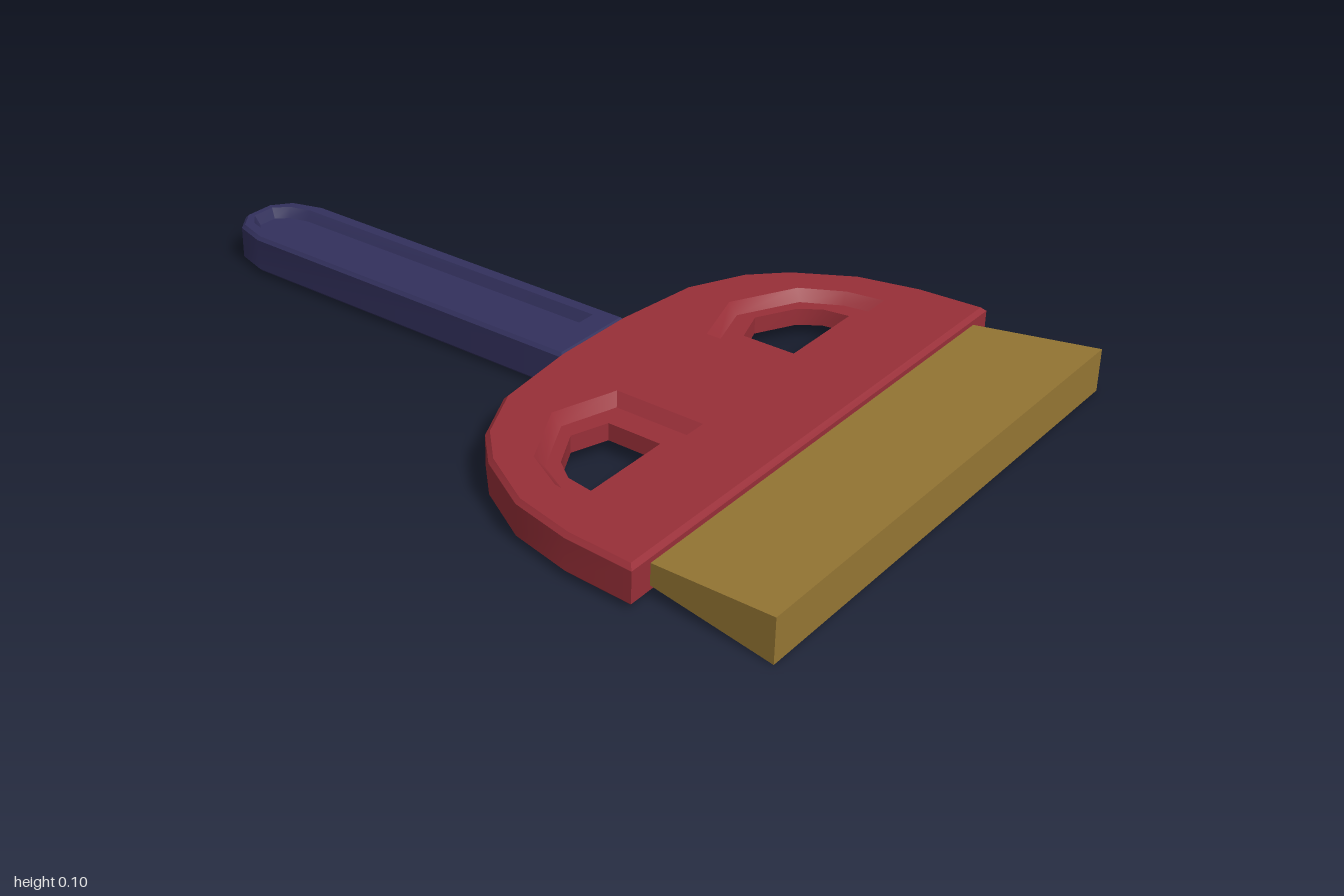
import * as THREE from 'three';
import { toCreasedNormals } from 'three/addons/utils/BufferGeometryUtils.js';

// Loops are lists of [x, z] points.
const V = (loop) => loop.map(([x, z]) => new THREE.Vector2(x, z));
const ordered = (loop) => (THREE.ShapeUtils.area(V(loop)) < 0 ? [...loop].reverse() : loop);
const mirrored = (loop) => loop.map(([x, z]) => [-x, z]);
// Closes a half outline running from the back to the front on +x.
const symmetric = (half) => [...half, ...mirrored(half).reverse()];

// Shrinks a loop by d, keeping its sides parallel (negative d grows it).
function inset(loop, d) {
  const n = loop.length;
  const normal = (p, q) => new THREE.Vector2(p[1] - q[1], q[0] - p[0]).normalize();
  return loop.map((p, i) => {
    const a = normal(loop[(i + n - 1) % n], p);
    const b = normal(p, loop[(i + 1) % n]);
    const k = d / (1 + a.dot(b));
    return [p[0] + (a.x + b.x) * k, p[1] + (a.y + b.y) * k];
  });
}

// Flat plate with a bevelled rim, sunken panels on both faces and openings through them.
function recessedPlate(outline, panels, { y0, y1, bevel, depth, slope }) {
  const pos = [];
  const put = (p, y) => pos.push(p[0], y, p[1]);
  const skin = (a, ya, b, yb) => {
    a.forEach((p, i) => {
      const j = (i + 1) % a.length;
      put(p, ya); put(b[i], yb); put(a[j], ya);
      put(a[j], ya); put(b[i], yb); put(b[j], yb);
    });
  };
  const cap = (outer, holes, y, up) => {
    const pts = [outer, ...holes].flat();
    for (const f of THREE.ShapeUtils.triangulateShape(V(outer), holes.map(V))) {
      const t = f.map((i) => pts[i]);
      if (THREE.ShapeUtils.area(V(t)) > 0 === up) t.reverse();
      t.forEach((p) => put(p, y));
    }
  };

  const outer = ordered(outline);
  const inner = inset(outer, bevel);
  const sunken = panels.map(({ rim, hole }) => {
    const r = ordered(rim);
    return { rim: r, floor: inset(r, slope), hole: ordered(hole) };
  });
  const rims = sunken.map((s) => s.rim);

  // Rim and broad faces
  skin(inner, y0, outer, y0 + bevel);
  skin(outer, y0 + bevel, outer, y1 - bevel);
  skin(outer, y1 - bevel, inner, y1);
  cap(inner, rims, y1, true);
  cap(inner, rims, y0, false);

  // Sunken panels and their openings
  for (const { rim, floor, hole } of sunken) {
    skin(rim, y1, floor, y1 - depth);
    cap(floor, [hole], y1 - depth, true);
    skin(hole, y1 - depth, hole, y0 + depth);
    cap(floor, [hole], y0 + depth, false);
    skin(floor, y0 + depth, rim, y0);
  }
  const g = new THREE.BufferGeometry();
  g.setAttribute('position', new THREE.Float32BufferAttribute(pos, 3));
  return toCreasedNormals(g, 0.7);
}

function createBlade() {
  // Wedge that flares in height and width toward the front
  const g = new THREE.BoxGeometry(1, 1, 1);
  const p = g.attributes.position;
  for (let i = 0; i < p.count; i++) {
    const front = p.getZ(i) > 0;
    p.setXYZ(i,
      Math.sign(p.getX(i)) * (front ? 0.645 : 0.613),
      0.0525 + Math.sign(p.getY(i)) * (front ? 0.0525 : 0.023),
      front ? 1 : 0.67);
  }
  g.computeVertexNormals();
  return g;
}

export function createModel() {
  const material = (name, color) => {
    const m = new THREE.MeshStandardMaterial({ color });
    m.name = name;
    return m;
  };
  const red = material('red', 0x982f38);
  const navy = material('navy', 0x32305c);
  const ochre = material('ochre', 0x957634);

  const group = new THREE.Group();
  group.name = 'handBrush';
  const add = (name, geometry, mat) => {
    const mesh = new THREE.Mesh(geometry, mat);
    mesh.name = name;
    group.add(mesh);
  };

  // Domed head with two grip windows
  const head = symmetric([
    [0.11, 0.07], [0.33, 0.095], [0.47, 0.162], [0.55, 0.24],
    [0.632, 0.38], [0.666, 0.53], [0.675, 0.698],
  ]);
  const window = {
    rim: [[0.165, 0.272], [0.325, 0.222], [0.485, 0.305], [0.54, 0.405], [0.555, 0.497], [0.165, 0.497]],
    hole: [[0.25, 0.315], [0.34, 0.285], [0.435, 0.335], [0.472, 0.385], [0.482, 0.45], [0.25, 0.45]],
  };
  const otherWindow = { rim: mirrored(window.rim), hole: mirrored(window.hole) };
  add('head', recessedPlate(head, [window, otherWindow],
    { y0: 0.006, y1: 0.1, bevel: 0.01, depth: 0.026, slope: 0.022 }), red);

  // Handle with a long groove and a hanging hole
  const handle = symmetric([[0.04, -1], [0.09, -0.962], [0.115, -0.88], [0.115, 0.08]]);
  const groove = {
    rim: symmetric([[0.03, -0.978], [0.062, -0.945], [0.078, -0.89], [0.078, 0.015]]),
    hole: [[0.035, -0.925], [0.062, -0.9], [0.062, -0.805], [0, -0.772],
      [-0.062, -0.805], [-0.062, -0.9], [-0.035, -0.925]],
  };
  add('handle', recessedPlate(handle, [groove],
    { y0: 0.006, y1: 0.1, bevel: 0.008, depth: 0.025, slope: 0.013 }), navy);

  // Flared bristle block
  add('bristles', createBlade(), ochre);

  return group;
}
